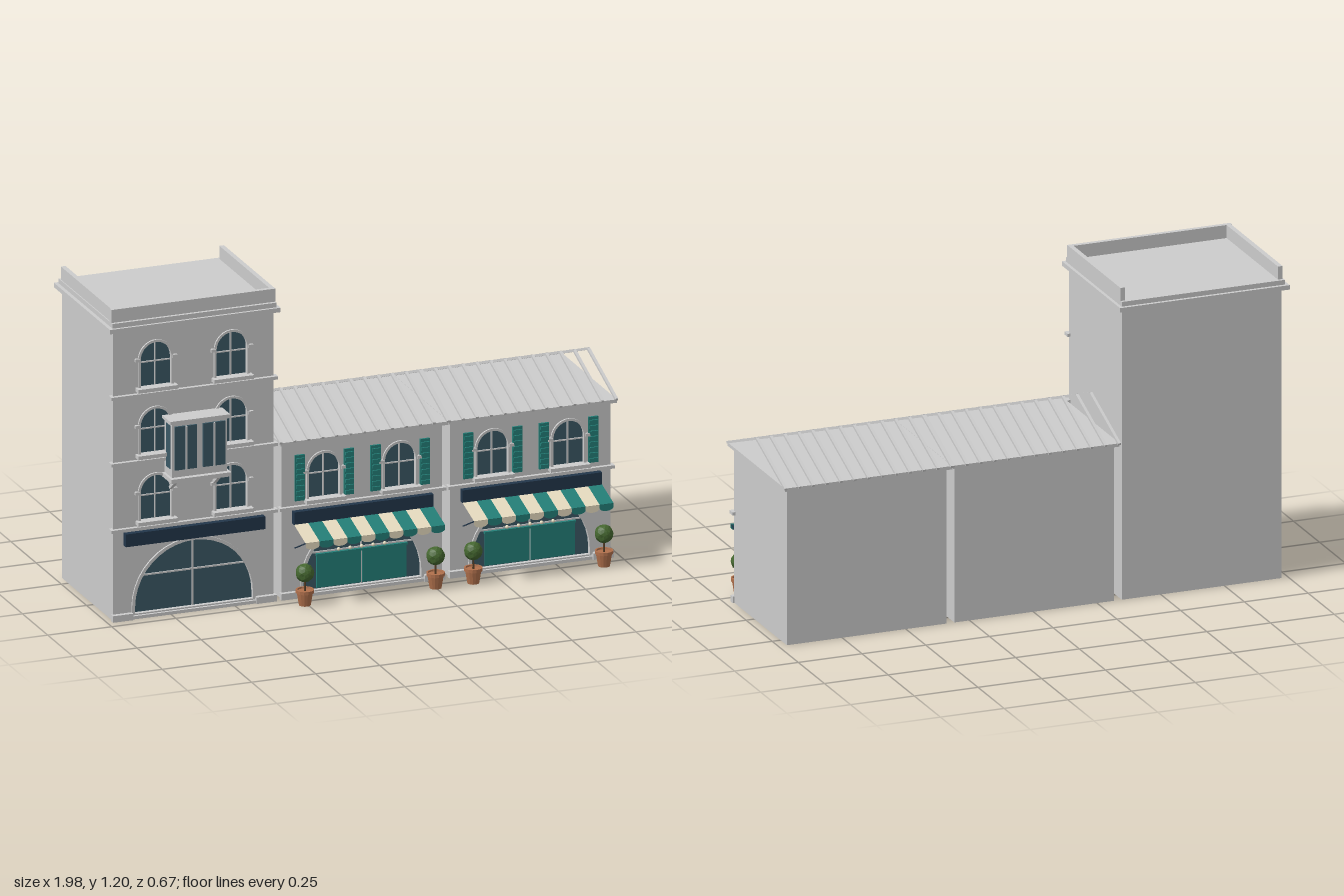
import * as THREE from 'three';

const mat = (color, side = THREE.FrontSide) => new THREE.MeshStandardMaterial({ color, side });
const GREY = mat(0xcccccc), GLASS = mat(0x3a5865), NAVY = mat(0x22364a), TEAL = mat(0x247f78);
const CREAM2 = mat(0xe6dcc0, THREE.DoubleSide), TEAL2 = mat(0x247f78, THREE.DoubleSide);
const CLAY = mat(0xb0704c), LEAF = mat(0x44662f), BARK = mat(0x5a4028);
LEAF.flatShading = true;

const HALF = 0.313, BACK = -0.31, FACE = 0.195, PITCH = 0.657;
const ARCH = { hw: 0.23, y0: 0.02, spring: 0.045, top: 0.275 };

function add(parent, name, geometry, material, x = 0, y = 0, z = 0) {
  const m = new THREE.Mesh(geometry, material);
  m.name = name;
  m.position.set(x, y, z);
  parent.add(m);
  return m;
}

// Box given by its extents on each axis
function block(parent, name, material, x0, x1, y0, y1, z0, z1) {
  return add(parent, name, new THREE.BoxGeometry(x1 - x0, y1 - y0, z1 - z0), material,
    (x0 + x1) / 2, (y0 + y1) / 2, (z0 + z1) / 2);
}

// Straight bar between two points in a plane of constant x
function bar(parent, name, material, x, a, b, w, t) {
  const [za, ya] = a, [zb, yb] = b;
  const m = add(parent, name, new THREE.BoxGeometry(w, t, Math.hypot(zb - za, yb - ya)), material,
    x, (ya + yb) / 2, (za + zb) / 2);
  m.rotation.x = -Math.atan2(yb - ya, zb - za);
}

// Arched outline, optionally grown by g
function archPath(Type, cx, { hw, y0, spring, top }, g = 0) {
  const p = new Type();
  p.moveTo(cx - hw - g, y0);
  p.lineTo(cx + hw + g, y0);
  p.lineTo(cx + hw + g, spring);
  p.absellipse(cx, spring, hw + g, top - spring + g, 0, Math.PI, false);
  p.lineTo(cx - hw - g, y0);
  return p;
}

// Glass, surround and glazing bars that fill one arched opening
function arched(parent, name, cx, a, surround, barW) {
  const g = new THREE.Group();
  g.name = name;
  add(g, 'glass', new THREE.ShapeGeometry(archPath(THREE.Shape, cx, a), 10), GLASS, 0, 0, 0.185);
  const ring = archPath(THREE.Shape, cx, a, surround);
  ring.holes.push(archPath(THREE.Path, cx, a));
  add(g, 'surround', new THREE.ExtrudeGeometry(ring,
    { depth: 0.015, bevelEnabled: false, curveSegments: 10 }), GREY, 0, 0, 0.187);
  const mid = a.y0 + (a.top - a.y0) * 0.55, b = barW / 2;
  block(g, 'mullion', GREY, cx - b, cx + b, a.y0, a.top, 0.183, 0.19);
  block(g, 'transom', GREY, cx - a.hw * 0.97, cx + a.hw * 0.97, mid - b, mid + b, 0.183, 0.19);
  parent.add(g);
}

// Body, pierced front, windows, courses and sign shared by all houses
function house(name, cx, height, floors) {
  const g = new THREE.Group();
  g.name = name;
  g.position.x = cx;
  block(g, 'body', GREY, -HALF, HALF, 0, height, BACK, 0.18);
  const front = new THREE.Shape();
  front.moveTo(-HALF, 0);
  front.lineTo(HALF, 0);
  front.lineTo(HALF, height);
  front.lineTo(-HALF, height);
  front.holes.push(archPath(THREE.Path, 0, ARCH));
  arched(g, 'entranceArch', 0, ARCH, 0.012, 0.006);
  for (let f = 0; f < floors; f++) {
    const y = 0.375 + f * 0.256;
    block(g, 'stringCourse', GREY, -HALF - 0.012, HALF + 0.012, y - 0.034, y - 0.022, 0.18, 0.21);
    for (const x of [-0.148, 0.148]) {
      const w = { hw: 0.06, y0: y, spring: y + 0.105, top: y + 0.168 };
      front.holes.push(archPath(THREE.Path, x, w));
      arched(g, 'window', x, w, 0.009, 0.005);
      block(g, 'windowSill', GREY, x - 0.078, x + 0.078, y - 0.014, y, 0.18, 0.224);
      for (const s of [-1, 1])
        block(g, 'archStop', GREY, x + s * 0.073 - 0.009, x + s * 0.073 + 0.009, y + 0.1, y + 0.112, 0.19, 0.207);
    }
  }
  add(g, 'frontWall', new THREE.ExtrudeGeometry(front,
    { depth: 0.015, bevelEnabled: false, curveSegments: 10 }), GREY, 0, 0, 0.18);
  for (const s of [-1, 1])
    block(g, 'plinth', GREY, s * 0.28 - 0.04, s * 0.28 + 0.04, 0, 0.025, 0.19, 0.212);
  block(g, 'threshold', GREY, -HALF, HALF, 0, 0.012, 0.19, 0.205);
  block(g, 'signBoard', NAVY, -0.272, 0.272, 0.286, 0.335, 0.195, 0.217);
  return g;
}

// Flat roof edge and projecting bay of the tall house
function tower() {
  const g = house('tower', -0.66, 1.115, 3);
  block(g, 'lowerCornice', GREY, -0.336, 0.33, 1.115, 1.132, -0.335, 0.222);
  block(g, 'upperCornice', GREY, -0.322, 0.318, 1.132, 1.15, -0.322, 0.212);
  block(g, 'frontParapet', GREY, -0.322, 0.318, 1.15, 1.2, 0.182, 0.2);
  for (const s of [-1, 1])
    block(g, 'sideParapet', GREY, s * 0.309 - 0.009, s * 0.309 + 0.009, 1.15, 1.2, BACK, 0.2);

  const bay = new THREE.Group();
  bay.name = 'bayWindow';
  bay.position.x = -0.005;
  block(bay, 'bayBox', GREY, -0.107, 0.107, 0.548, 0.757, FACE, 0.268);
  block(bay, 'bayCap', GREY, -0.117, 0.117, 0.757, 0.768, FACE, 0.276);
  block(bay, 'bayFloor', GREY, -0.117, 0.117, 0.533, 0.549, FACE, 0.288);
  for (const s of [-1, 1]) {
    block(bay, 'bayGlass', GLASS, s * 0.055 - 0.043, s * 0.055 + 0.043, 0.578, 0.745, 0.26, 0.275);
    block(bay, 'bayMullion', GREY, s * 0.055 - 0.003, s * 0.055 + 0.003, 0.578, 0.745, 0.27, 0.281);
    block(bay, 'baySideGlass', GLASS, s * 0.1 - 0.009, s * 0.1 + 0.009, 0.578, 0.745, 0.212, 0.252);
    bar(bay, 'bayBracket', GREY, s * 0.085, [0.2, 0.488], [0.258, 0.535], 0.014, 0.012);
  }
  g.add(bay);
  return g;
}

// Striped awning with scalloped valance and side stays
function awning() {
  const g = new THREE.Group();
  g.name = 'awning';
  const n = 10, w = 0.544 / n, drop = new THREE.Shape();
  drop.moveTo(-w / 2, 0);
  drop.lineTo(-w / 2, -0.012);
  drop.absellipse(0, -0.012, w / 2, 0.014, Math.PI, 2 * Math.PI, false);
  drop.lineTo(w / 2, 0);
  for (let i = 0; i < n; i++) {
    const m = i % 2 ? TEAL2 : CREAM2, x = -0.272 + w * (i + 0.5);
    bar(g, 'awningStripe', m, x, [0.213, 0.288], [0.33, 0.253], w, 0.002);
    add(g, 'valance', new THREE.ShapeGeometry(drop, 6), m, x, 0.253, 0.331);
  }
  for (const s of [-1, 1]) bar(g, 'awningStay', NAVY, s * 0.268, [0.212, 0.196], [0.328, 0.253], 0.004, 0.004);
  return g;
}

// Clipped round shrub in a clay pot
function shrub(x) {
  const g = new THREE.Group();
  g.name = 'pottedShrub';
  g.position.set(x, 0, 0.284);
  const profile = [[0, 0], [0.022, 0], [0.03, 0.048], [0.034, 0.048], [0.034, 0.06], [0.028, 0.06], [0.027, 0.054], [0, 0.054]];
  const pot = add(g, 'pot', new THREE.LatheGeometry(profile.map(p => new THREE.Vector2(...p)), 14), CLAY);
  pot.geometry = pot.geometry.toNonIndexed();
  pot.geometry.computeVertexNormals();
  add(g, 'trunk', new THREE.CylinderGeometry(0.003, 0.004, 0.05, 6), BARK, 0, 0.077, 0);
  const crown = new THREE.IcosahedronGeometry(0.034, 2), p = crown.attributes.position;
  // ripple the crown so that it reads as leaves
  for (let i = 0; i < p.count; i++) {
    const k = 1 + 0.06 * Math.sin(p.getX(i) * 210) * Math.cos(p.getY(i) * 190 + p.getZ(i) * 170);
    p.setXYZ(i, p.getX(i) * k, p.getY(i) * k, p.getZ(i) * k);
  }
  crown.computeVertexNormals();
  add(g, 'crown', crown, LEAF, 0, 0.123, 0);
  return g;
}

// Low shop with shutters, awning and open rafters
function shop(cx) {
  const g = house('shop', cx, 0.597, 1);
  for (const x of [-0.148, 0.148]) for (const s of [-1, 1]) {
    const c = x + s * 0.096;
    block(g, 'shutter', TEAL, c - 0.019, c + 0.019, 0.372, 0.548, 0.195, 0.203);
    for (let i = 0; i < 8; i++)
      block(g, 'shutterSlat', TEAL, c - 0.016, c + 0.016, 0.378 + i * 0.021, 0.39 + i * 0.021, 0.2, 0.209);
  }
  // teal shopfront with a row of lamps
  for (const s of [-1, 1])
    block(g, 'shopfrontPanel', TEAL, s * 0.089 - 0.086, s * 0.089 + 0.086, 0.025, 0.148, 0.186, 0.194);
  block(g, 'shopfrontRail', TEAL, -0.178, 0.178, 0.148, 0.156, 0.186, 0.199);
  for (let i = -2; i <= 2; i++)
    add(g, 'lamp', new THREE.SphereGeometry(0.007, 10, 8), CREAM2, i * 0.045, 0.164, 0.194);
  g.add(awning(), shrub(-0.257), shrub(0.253));

  // eaves and rafters
  block(g, 'roofDeck', GREY, -0.328, 0.328, 0.597, 0.61, -0.328, 0.222);
  const n = 13, ridge = [-0.057, 0.715];
  for (let i = 0; i < n; i++) {
    const x = -0.326 + 0.652 * i / (n - 1);
    bar(g, 'frontRafter', GREY, x, ridge, [0.224, 0.61], 0.011, 0.009);
    bar(g, 'backRafter', GREY, x, [-0.333, 0.608], ridge, 0.011, 0.009);
  }
  return g;
}

export function createModel() {
  const root = new THREE.Group();
  root.name = 'shopRow';
  root.add(tower(), shop(-0.003), shop(-0.003 + PITCH));
  return root;
}
